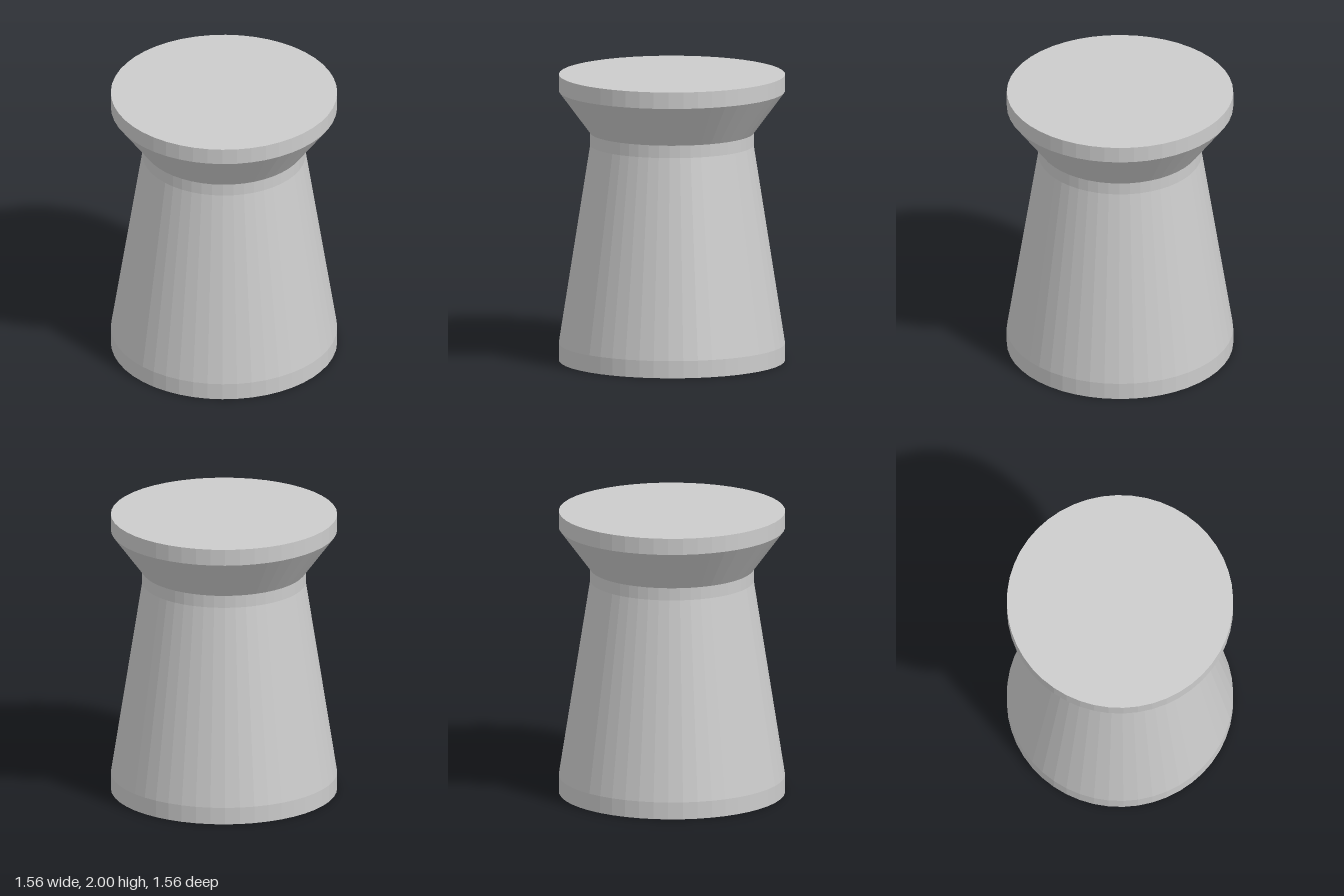
import * as THREE from 'three';

const SEGMENTS = 48;
const material = new THREE.MeshStandardMaterial({ color: 0xcccccc, flatShading: true });

// Solid of revolution from [radius, height] pairs, listed bottom to top
function turned(name, profile) {
  const points = profile.map(([r, y]) => new THREE.Vector2(r, y));
  const mesh = new THREE.Mesh(new THREE.LatheGeometry(points, SEGMENTS), material);
  mesh.name = name;
  return mesh;
}

export function createModel() {
  const group = new THREE.Group();
  group.name = 'pedestalStool';

  // Closed base with a short upright rim
  group.add(turned('base', [[0, 0], [0.782, 0], [0.782, 0.12]]));

  // Tapering body and straight neck
  group.add(turned('body', [[0.782, 0.12], [0.565, 1.505], [0.565, 1.592]]));

  // Flared underside, upright rim and flat top
  group.add(turned('seat', [[0.565, 1.592], [0.782, 1.885], [0.782, 2], [0, 2]]));

  return group;
}
